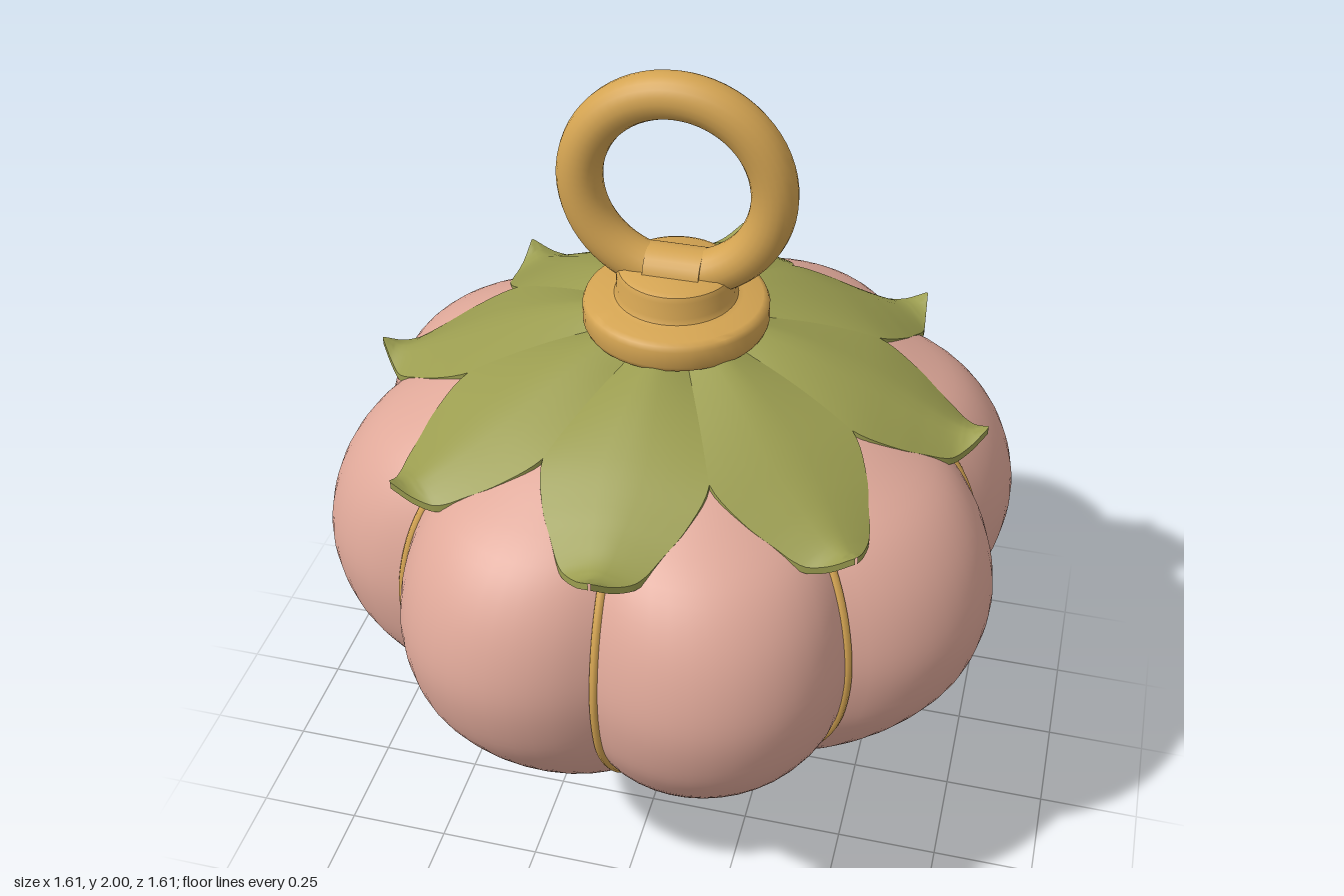
import * as THREE from 'three';
import { toCreasedNormals } from 'three/addons/utils/BufferGeometryUtils.js';

const LOBES = 8;
const V2 = (a) => a.map(([x, y]) => new THREE.Vector2(x, y));
const V3 = (a) => a.map(([x, y, z]) => new THREE.Vector3(x, y, z));

// Skin a list of closed rings, each an array of [x, y, z]
function loft(rings, crease) {
  const n = rings[0].length, index = [];
  for (let i = 0; i < rings.length - 1; i++) {
    for (let j = 0; j < n; j++) {
      const a = i * n + j, b = i * n + (j + 1) % n;
      index.push(a, a + n, b, b, a + n, b + n);
    }
  }
  const g = new THREE.BufferGeometry();
  g.setAttribute('position', new THREE.Float32BufferAttribute(rings.flat(2), 3));
  g.setIndex(index);
  return toCreasedNormals(g, crease);
}

// Groove radius against height
const profile = new THREE.SplineCurve(V2([
  [0.004, 0.03], [0.1, 0.1], [0.24, 0.2], [0.385, 0.3], [0.51, 0.4], [0.6, 0.5],
  [0.668, 0.6], [0.714, 0.7], [0.736, 0.83], [0.722, 0.95], [0.68, 1.06], [0.61, 1.15],
  [0.5, 1.22], [0.4, 1.27], [0.28, 1.32], [0.15, 1.355], [0.004, 1.37],
]));

// Radius of a ring of overlapping circles, relative to its grooves
function lobeRatio(phi) {
  const c = 0.52, R = 0.325;
  return (c * Math.cos(phi) + Math.sqrt(R * R - (c * Math.sin(phi)) ** 2)) / 0.736;
}

function bodyGeometry() {
  const per = 14, step = Math.PI * 2 / LOBES;
  const rings = profile.getPoints(64).map((p) => {
    const ring = [];
    for (let k = 0; k < LOBES * per; k++) {
      const a = k / per * step;
      const r = p.x * lobeRatio((k % per) / per * step - step / 2);
      ring.push([r * Math.cos(a), p.y, r * Math.sin(a)]);
    }
    return ring;
  });
  return loft(rings, 0.5);
}

// Leaf: distance out, ridge height, half width
function sepalGeometry() {
  const path = new THREE.CatmullRomCurve3(V3([
    [0.1, 1.4, 0.042], [0.2, 1.385, 0.083], [0.32, 1.353, 0.133], [0.45, 1.3, 0.187],
    [0.55, 1.248, 0.16], [0.61, 1.215, 0.125], [0.665, 1.188, 0.09], [0.705, 1.182, 0.045],
    [0.74, 1.198, 0.003],
  ]));
  const n = 8;
  const rings = path.getPoints(40).map((p) => {
    const top = [], under = [];
    for (let k = 0; k <= n; k++) {
      const s = 1 - 2 * k / n;
      const y = p.y - 0.028 * Math.abs(s) ** 1.3 * Math.min(1, p.z / 0.08);
      top.push([p.x, y, s * p.z]);
      under.unshift([p.x, y - 0.018, s * p.z]);
    }
    return [...top, ...under];
  });
  return loft(rings, 0.6);
}

export function createModel() {
  const model = new THREE.Group();
  model.name = 'ornament';
  const mat = (name, color) => {
    const m = new THREE.MeshStandardMaterial({ color });
    m.name = name;
    return m;
  };
  const pink = mat('dusty pink', 0xdfa899);
  const green = mat('olive green', 0x9b9d50);
  const gold = mat('gold', 0xd4a452);
  const add = (name, geometry, material, y = 0) => {
    const m = new THREE.Mesh(geometry, material);
    m.name = name;
    m.position.y = y;
    model.add(m);
    return m;
  };

  add('lobedBody', bodyGeometry(), pink);

  // Cords in the grooves and leaves above them
  const cordPath = new THREE.CatmullRomCurve3(
    profile.getPoints(48).filter((p) => p.y < 1.24).map((p) => new THREE.Vector3(p.x + 0.003, p.y, 0)));
  const cord = new THREE.TubeGeometry(cordPath, 64, 0.011, 8);
  const sepal = sepalGeometry();
  for (let i = 0; i < LOBES; i++) {
    const angle = i * Math.PI * 2 / LOBES;
    add('seamCord', cord, gold).rotation.y = angle;
    add('sepal', sepal, green).rotation.y = angle;
  }

  // Bottom bead
  add('bottomBead', new THREE.SphereGeometry(0.041, 24, 16), gold, 0.037).scale.y = 0.9;

  // Stepped cap
  const cap = new THREE.LatheGeometry(V2([
    [0, 1.36], [0.2, 1.37], [0.211, 1.376], [0.216, 1.388], [0.216, 1.428], [0.211, 1.44],
    [0.2, 1.446], [0.155, 1.448], [0.143, 1.452], [0.137, 1.464], [0.137, 1.505],
    [0.132, 1.517], [0.12, 1.523], [0, 1.523],
  ]), 48);
  add('cap', toCreasedNormals(cap, 0.7), gold);

  // Hanging ring and its sleeve
  add('hangingRing', new THREE.TorusGeometry(0.222, 0.053, 20, 64), gold, 1.725);
  const sleeve = new THREE.CylinderGeometry(0.065, 0.065, 0.13, 28);
  add('ringSleeve', sleeve, gold, 1.503).rotation.z = Math.PI / 2;

  return model;
}
